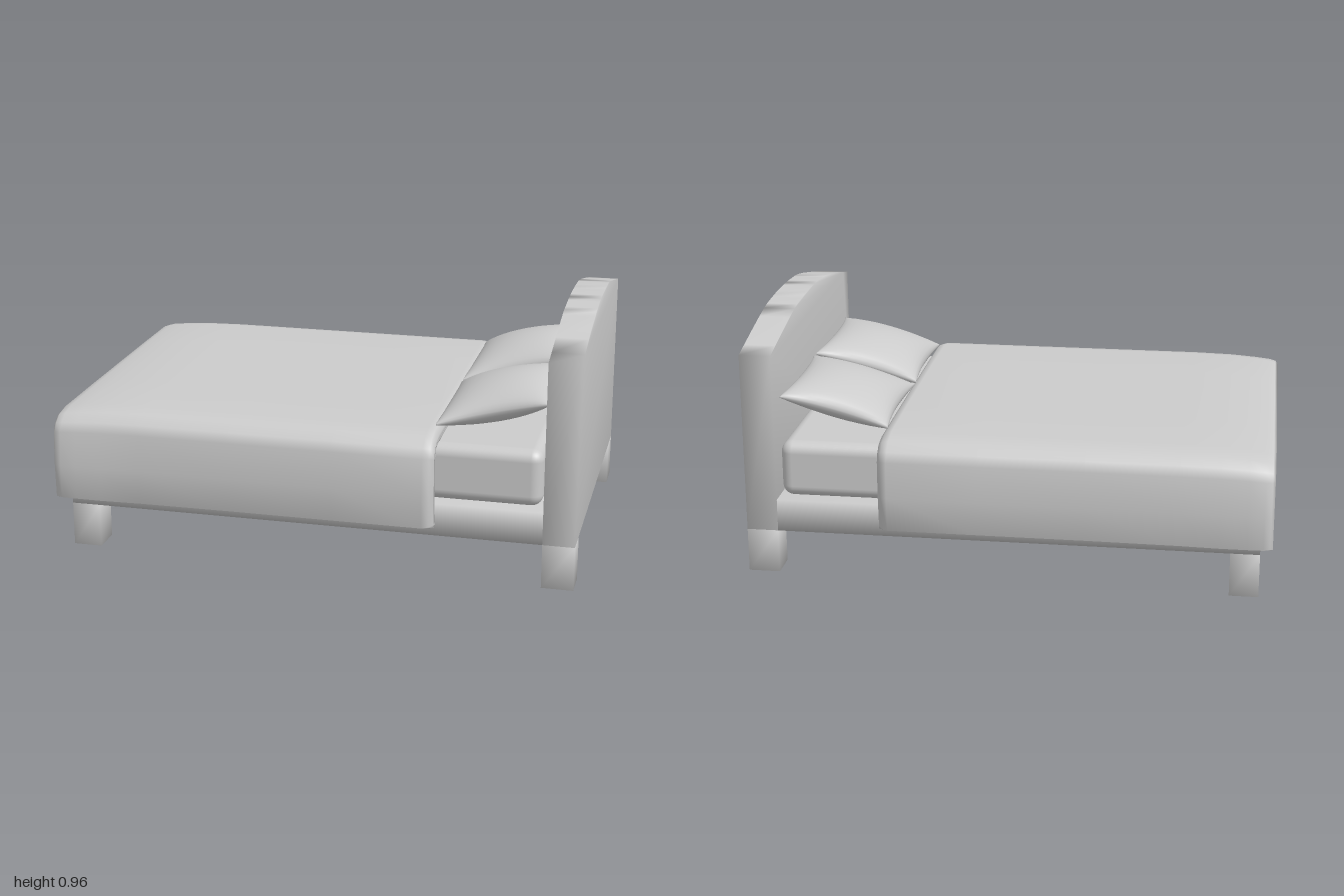
import * as THREE from 'three';
import { mergeVertices } from 'three/addons/utils/BufferGeometryUtils.js';
import { RoundedBoxGeometry } from 'three/addons/geometries/RoundedBoxGeometry.js';

const material = new THREE.MeshStandardMaterial({ color: 0xcccccc });

function part(name, geometry, parent) {
  const mesh = new THREE.Mesh(geometry, material);
  mesh.name = name;
  parent.add(mesh);
  return mesh;
}

// Share vertices so the shading runs softly across the edges
function soften(geometry) {
  geometry.deleteAttribute('normal');
  geometry.deleteAttribute('uv');
  const merged = mergeVertices(geometry, 1e-4);
  merged.computeVertexNormals();
  return merged;
}

// Box given by its lower and upper corners
function block(x0, x1, y0, y1, z0, z1) {
  const g = new THREE.BoxGeometry(x1 - x0, y1 - y0, z1 - z0);
  g.translate((x0 + x1) / 2, (y0 + y1) / 2, (z0 + z1) / 2);
  return soften(g);
}

function headboardGeometry() {
  const shape = new THREE.Shape();
  shape.moveTo(-0.64, 0.17);
  shape.lineTo(0.64, 0.17);
  shape.lineTo(0.64, 0.865);
  shape.splineThru([[0.3, 0.94], [0.15, 0.957], [0, 0.962], [-0.15, 0.957], [-0.3, 0.94], [-0.64, 0.865]]
    .map(([x, y]) => new THREE.Vector2(x, y)));
  const g = new THREE.ExtrudeGeometry(shape, { depth: 0.12, bevelEnabled: false, curveSegments: 3 });
  g.rotateY(Math.PI / 2);
  g.translate(0.88, 0, 0);
  return soften(g);
}

// Draped cover: a thick U section swept from foot to head, open at both ends
function blanketGeometry() {
  // Half sections as [z, y], from hem to centre
  const outer = [[0.68, 0.21], [0.708, 0.22], [0.715, 0.35], [0.71, 0.49], [0.688, 0.525], [0.65, 0.556], [0.58, 0.572], [0.3, 0.576]];
  const inner = [[0.66, 0.212], [0.648, 0.225], [0.66, 0.35], [0.66, 0.47], [0.652, 0.495], [0.63, 0.513], [0.58, 0.52], [0.3, 0.52]];
  const mirror = (half) => [...half, ...half.slice().reverse().map(([z, y]) => [-z, y])];
  const out = mirror(outer);
  const inn = mirror(inner);

  // [x, thickness of top, thickness of sides, outward flare of the hem]
  const stations = [
    [-0.975, 0, 0, 0.012], [-0.995, 0.25, 0.5, 0.012], [-0.985, 0.45, 0.85, 0.013],
    [-0.96, 0.6, 1, 0.014], [-0.9, 0.75, 1, 0.014], [-0.8, 0.92, 1, 0.012], [-0.65, 1, 1, 0.004],
    [-0.3, 1, 1, 0], [0.1, 1, 1, 0], [0.44, 1, 1, 0], [0.465, 0.85, 0.75, 0], [0.48, 0.5, 0.3, 0], [0.475, 0, 0, 0],
  ];
  const n = out.length * 2;
  const positions = [];
  const index = [];
  stations.forEach(([x, top, side, flare], i) => {
    const ring = out.map(([z, y], k) => [
      inn[k][0] + (z - inn[k][0]) * side,
      inn[k][1] + (y - inn[k][1]) * top,
    ]).concat(inn.slice().reverse());
    ring.forEach(([z, y], j) => {
      const spread = flare * Math.max(0, 1 - (y - 0.21) / 0.3) * Math.sign(z);
      positions.push(x, y, z + spread);
      if (i === 0) return;
      const a = (i - 1) * n + j, b = (i - 1) * n + (j + 1) % n;
      index.push(a, a + n, b, b, a + n, b + n);
    });
  });
  const g = new THREE.BufferGeometry();
  g.setAttribute('position', new THREE.Float32BufferAttribute(positions, 3));
  g.setIndex(index);
  g.computeVertexNormals();
  return g;
}

// Cushion with pinched corners and inward curving seams
function pillowGeometry() {
  const g = new THREE.BoxGeometry(2, 2, 2, 18, 1, 18);
  const p = g.attributes.position;
  for (let i = 0; i < p.count; i++) {
    const u = Math.sin(p.getX(i) * Math.PI / 2);
    const v = Math.sin(p.getZ(i) * Math.PI / 2);
    const fill = Math.max(0, (1 - u * u) * (1 - v * v));
    p.setXYZ(i,
      u * 0.213 * (1 - 0.07 * (1 - v * v)),
      Math.sign(p.getY(i)) * (0.003 + 0.075 * Math.pow(fill, 0.5)),
      v * 0.268 * (1 - 0.11 * (1 - u * u)));
  }
  return soften(g);
}

export function createModel() {
  const bed = new THREE.Group();
  bed.name = 'bed';

  // Frame and headboard
  part('frame', block(-0.95, 0.88, 0.17, 0.295, -0.64, 0.64), bed);
  part('headboard', headboardGeometry(), bed);

  // Four square legs
  for (const [end, x0, x1] of [['foot', -0.95, -0.84], ['head', 0.88, 1]]) {
    part(end + 'LegFront', block(x0, x1, 0, 0.17, 0.525, 0.64), bed);
    part(end + 'LegBack', block(x0, x1, 0, 0.17, -0.64, -0.525), bed);
  }

  // Bedding
  const mattress = part('mattress', new RoundedBoxGeometry(1.8, 0.22, 1.22, 4, 0.045), bed);
  mattress.position.set(-0.03, 0.406, 0);
  part('blanket', blanketGeometry(), bed);
  const pillow = pillowGeometry();
  for (const [name, side] of [['pillowFront', 1], ['pillowBack', -1]]) {
    const mesh = part(name, pillow, bed);
    mesh.position.set(0.668, 0.626, side * 0.285);
    mesh.rotation.z = 0.25;
  }
  return bed;
}
